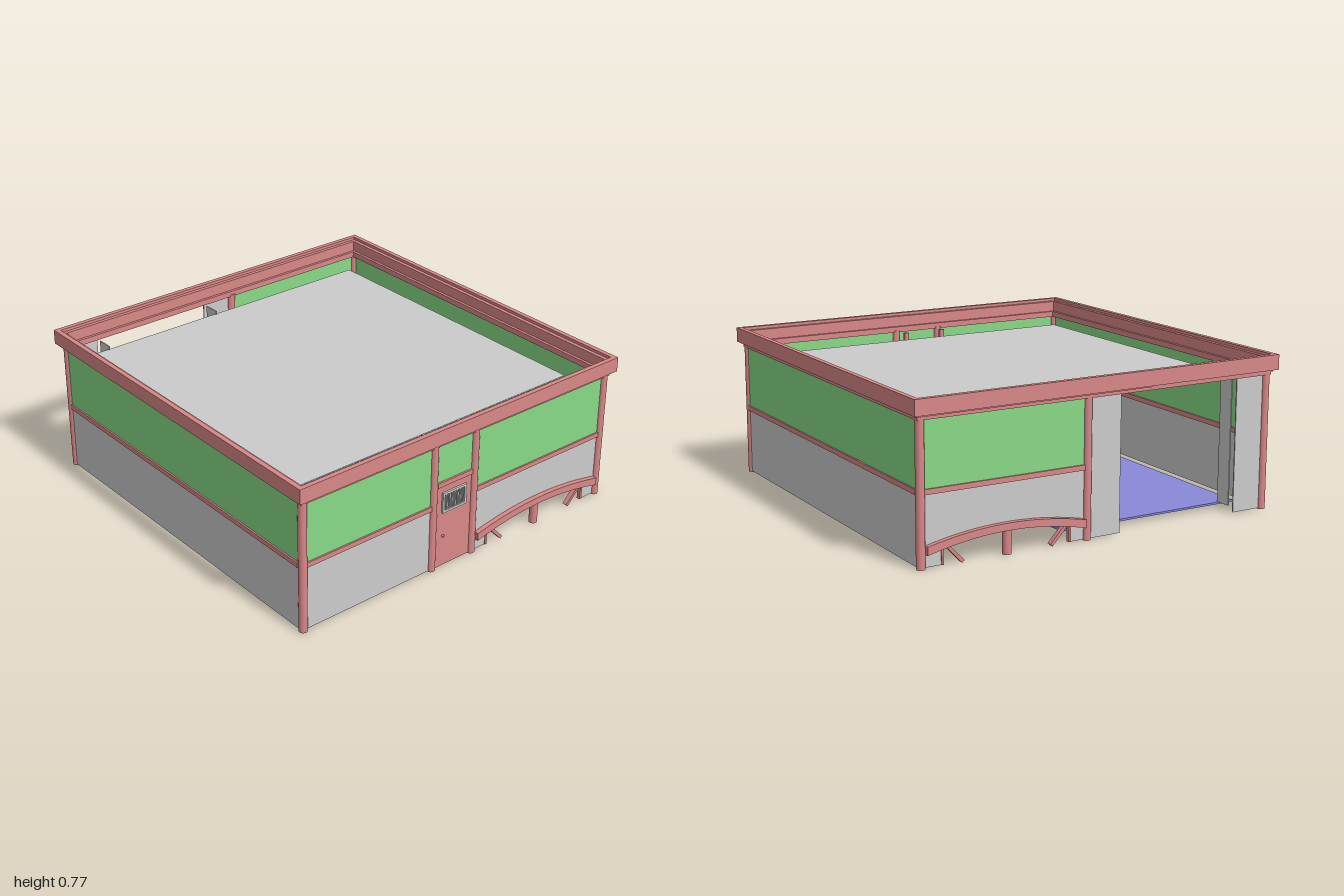
import * as THREE from 'three';

const mat = (color) => new THREE.MeshStandardMaterial({ color, side: THREE.DoubleSide });
const grey = mat(0xcccccc), pink = mat(0xd98888), green = mat(0x88d988), blue = mat(0x8888d9);

export function createModel() {
  const root = new THREE.Group();

  const add = (name, geo, m, parent = root) => {
    const mesh = new THREE.Mesh(geo, m);
    mesh.name = name;
    parent.add(mesh);
    return mesh;
  };
  // Box given by its minimum and maximum on each axis
  const box = (name, m, x0, x1, y0, y1, z0, z1) => {
    const g = new THREE.BoxGeometry(x1 - x0, y1 - y0, z1 - z0);
    g.translate((x0 + x1) / 2, (y0 + y1) / 2, (z0 + z1) / 2);
    return add(name, g, m);
  };
  const post = (name, x, z, y0 = 0, y1 = 0.68, r = 0.021) =>
    add(name, new THREE.CylinderGeometry(r, r, y1 - y0, 16).translate(x, (y0 + y1) / 2, z), pink);
  // Shape drawn in (-z, y), extruded along x from x0 to x1
  const sideExtrude = (name, m, shape, x0, x1) => {
    const g = new THREE.ExtrudeGeometry(shape, { depth: x1 - x0, bevelEnabled: false, curveSegments: 24 });
    return add(name, g.rotateY(Math.PI / 2).translate(x0, 0, 0), m);
  };
  // Rectangular ring lying flat
  const ring = (name, ox, oz, w, y0, y1) => {
    const s = new THREE.Shape([[-ox, -oz], [ox, -oz], [ox, oz], [-ox, oz]].map((p) => new THREE.Vector2(...p)));
    const ix = ox - w, iz = oz - w;
    s.holes.push(new THREE.Path([[-ix, -iz], [-ix, iz], [ix, iz], [ix, -iz]].map((p) => new THREE.Vector2(...p))));
    const g = new THREE.ExtrudeGeometry(s, { depth: y1 - y0, bevelEnabled: false });
    add(name, g.rotateX(-Math.PI / 2).translate(0, y0, 0), pink);
  };

  // Roof cornice in three steps
  ring('cornice', 1, 0.985, 0.025, 0.695, 0.77);
  ring('corniceInner', 0.98, 0.965, 0.025, 0.685, 0.755);
  ring('corniceLower', 0.975, 0.96, 0.035, 0.67, 0.70);

  // Corner posts and front and back walls
  for (const s of [1, -1]) {
    for (const x of [1, -1]) post('cornerPost', x * 0.955, s * 0.94);
    const z0 = s * 0.945 - 0.005, z1 = s * 0.945 + 0.005;
    box('lowerPanel', grey, -0.94, 0.94, 0.005, 0.34, z0, z1);
    box('window', green, -0.94, 0.94, 0.355, 0.675, z0, z1);
    box('windowRail', pink, -0.94, 0.94, 0.335, 0.36, z0 - 0.008, z1 + 0.008);
  }

  // Solid side panel ahead of the door
  box('sidePanel', grey, 0.95, 0.96, 0.005, 0.34, 0.18, 0.93);
  box('sideWindow', green, 0.95, 0.96, 0.355, 0.675, 0.18, 0.93);
  box('sideRail', pink, 0.942, 0.968, 0.335, 0.36, 0.18, 0.93);

  // Wheel bay on both sides
  const wall = new THREE.Shape();
  wall.moveTo(0.09, 0.34);
  wall.lineTo(0.09, 0.005);
  wall.lineTo(0.17, 0.005);
  wall.lineTo(0.17, 0.095);
  wall.quadraticCurveTo(0.505, 0.165, 0.84, 0.095);
  wall.lineTo(0.84, 0.005);
  wall.lineTo(0.93, 0.005);
  wall.lineTo(0.93, 0.34);
  const arch = new THREE.Shape();
  arch.moveTo(0.1, 0.065);
  arch.quadraticCurveTo(0.51, 0.17, 0.92, 0.065);
  arch.lineTo(0.92, 0.105);
  arch.quadraticCurveTo(0.51, 0.2, 0.1, 0.105);
  const lining = new THREE.Shape();
  lining.moveTo(0.19, 0.085);
  lining.quadraticCurveTo(0.51, 0.16, 0.83, 0.085);
  lining.lineTo(0.83, 0.095);
  lining.quadraticCurveTo(0.51, 0.17, 0.19, 0.095);

  for (const s of [1, -1]) {
    const span = (a, b) => (s > 0 ? [a, b] : [-b, -a]);
    sideExtrude('archWall', grey, wall, ...span(0.95, 0.96));
    sideExtrude('wheelArch', pink, arch, ...span(0.945, 0.985));
    sideExtrude('archLining', blue, lining, ...span(0.84, 0.945));
    const [x0, x1] = span(0.95, 0.96);
    box('bayWindow', green, x0, x1, 0.355, 0.675, -0.93, -0.09);
    box('bayRail', pink, x0 - 0.008, x1 + 0.008, 0.335, 0.36, -0.93, -0.09);
    post('bayPost', s * 0.955, -0.08);
    post('wheelPost', s * 0.955, -0.505, 0, 0.13);
    // Slanted braces under the arch
    for (const d of [1, -1]) {
      const g = new THREE.BoxGeometry(0.025, 0.135, 0.016);
      const brace = add('archBrace', g, pink);
      brace.position.set(s * 0.955, 0.055, -0.505 + d * 0.275);
      brace.rotation.x = -d * -0.75;
      box('archEdge', pink, x0 - 0.005, x1 + 0.005, 0.005, 0.09, -0.505 + d * 0.33 - 0.006, -0.505 + d * 0.33 + 0.006);
    }
  }

  // Door with barred window
  post('doorPost', 0.955, 0.175);
  box('door', pink, 0.945, 0.962, 0.005, 0.45, -0.06, 0.156);
  box('doorHeader', pink, 0.94, 0.97, 0.445, 0.47, -0.06, 0.156);
  box('doorTransom', green, 0.95, 0.96, 0.47, 0.675, -0.06, 0.156);
  const frame = new THREE.Shape();
  frame.moveTo(-0.125, 0.30).lineTo(0.025, 0.30).lineTo(0.025, 0.408).lineTo(-0.125, 0.408);
  const hole = new THREE.Path();
  hole.moveTo(-0.113, 0.312).lineTo(-0.113, 0.396).lineTo(0.013, 0.396).lineTo(0.013, 0.312);
  frame.holes.push(hole);
  sideExtrude('doorWindowFrame', grey, frame, 0.962, 0.972);
  box('doorWindowBack', grey, 0.96, 0.964, 0.31, 0.40, -0.015, 0.115);
  for (let i = 0; i < 7; i++) {
    const z = 0.05 + (i - 3) * 0.017;
    box('doorWindowBar', grey, 0.964, 0.971, 0.312, 0.396, z - 0.003, z + 0.003);
  }
  add('doorKnob', new THREE.SphereGeometry(0.007, 12, 8).translate(0.968, 0.172, 0.115), pink);

  // Cabinet inside the door
  box('cabinet', grey, 0.862, 0.942, 0.03, 0.45, -0.08, 0.165);
  box('cabinetFront', pink, 0.846, 0.862, 0.03, 0.45, -0.08, 0.16);
  for (const z of [-0.068, 0.148]) box('cabinetPost', pink, 0.846, 0.862, 0.45, 0.68, z - 0.012, z + 0.012);

  // Wide entrance: folded leaves on each edge
  for (const [z0, z1, zr] of [[-0.08, 0.10, 0.10], [0.765, 0.94, 0.765]]) {
    box('doorLeafOuter', grey, -0.961, -0.955, 0.005, 0.67, z0, z1);
    box('doorLeafInner', grey, -0.925, -0.84, 0.03, 0.67, zr - 0.003, zr + 0.003);
  }

  // Floors, riser and ceiling
  box('lowFloor', blue, -0.85, 0.87, 0.02, 0.03, -0.14, 0.85);
  box('lowFloorEdge', blue, 0.87, 0.945, 0.02, 0.03, -0.16, 0.85);
  box('floorRiser', blue, -0.85, 0.87, 0.02, 0.14, -0.15, -0.14);
  box('raisedFloor', blue, -0.85, 0.87, 0.13, 0.14, -0.84, -0.11);
  box('ceiling', grey, -0.85, 0.81, 0.645, 0.65, -0.82, 0.85);

  return root;
}
